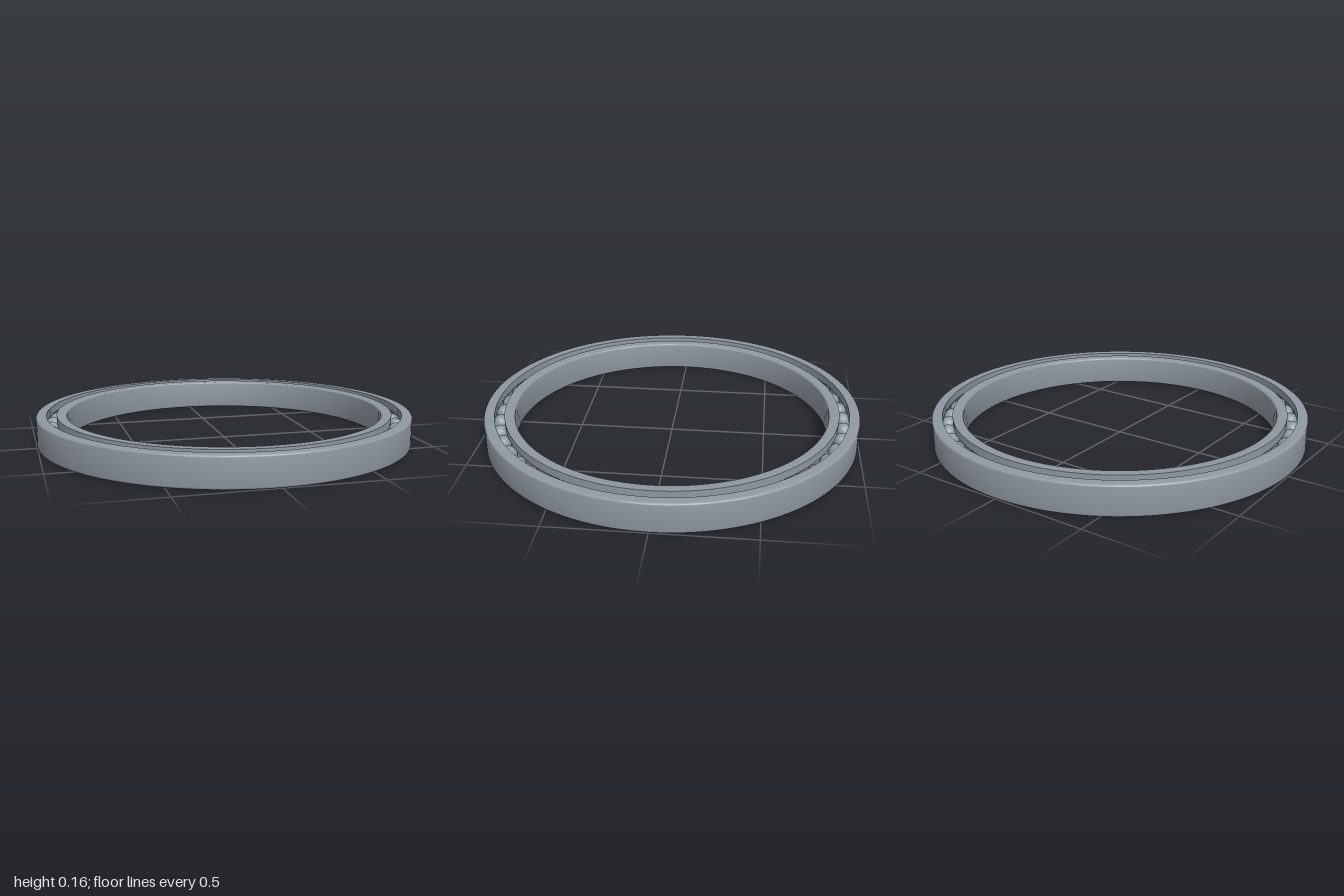
import * as THREE from 'three';
import { toCreasedNormals } from 'three/addons/utils/BufferGeometryUtils.js';

const HEIGHT = 0.157, MID = HEIGHT / 2;
const PITCH = 0.919;            // radius of the circle of ball centres
const BALL_R = 0.043, BALLS = 48;
const GROOVE_R = 0.045;
const FILLET = 0.01;

// points along an arc in the (radius, height) plane
function arc(cx, cy, r, from, to, steps) {
  const pts = [];
  for (let i = 0; i <= steps; i++) {
    const a = from + (to - from) * i / steps;
    pts.push(new THREE.Vector2(cx + r * Math.cos(a), cy + r * Math.sin(a)));
  }
  return pts;
}

// spins a closed counter-clockwise profile into a ring with crisp edges
function ring(name, profile, material) {
  const geometry = new THREE.LatheGeometry([...profile, profile[0].clone()], 144);
  const mesh = new THREE.Mesh(toCreasedNormals(geometry, 0.5), material);
  mesh.name = name;
  return mesh;
}

export function createModel() {
  const group = new THREE.Group();
  group.name = 'ballBearing';
  const steel = new THREE.MeshStandardMaterial({ color: 0x9098a1 });
  steel.name = 'steel grey';
  const P = Math.PI;

  // outer ring: rounded outer corners, ball groove on its inner face
  const outerLand = 0.945;
  const outerA = Math.acos((outerLand - PITCH) / GROOVE_R);
  group.add(ring('outerRing', [
    new THREE.Vector2(outerLand, 0),
    ...arc(1 - FILLET, FILLET, FILLET, -P / 2, 0, 4),
    ...arc(1 - FILLET, HEIGHT - FILLET, FILLET, 0, P / 2, 4),
    new THREE.Vector2(outerLand, HEIGHT),
    ...arc(PITCH, MID, GROOVE_R, outerA, -outerA, 12),
  ], steel));

  // inner ring: rounded bore corners, ball groove on its outer face
  const innerLand = 0.893, bore = 0.838;
  const innerA = Math.acos((PITCH - innerLand) / GROOVE_R);
  group.add(ring('innerRing', [
    new THREE.Vector2(innerLand, 0),
    ...arc(PITCH, MID, GROOVE_R, P + innerA, P - innerA, 12),
    new THREE.Vector2(innerLand, HEIGHT),
    ...arc(bore + FILLET, HEIGHT - FILLET, FILLET, P / 2, P, 4),
    ...arc(bore + FILLET, FILLET, FILLET, P, P * 1.5, 4),
  ], steel));

  // balls spaced evenly between the rings
  const balls = new THREE.Group();
  balls.name = 'balls';
  const ballGeometry = new THREE.SphereGeometry(BALL_R, 24, 16);
  for (let i = 0; i < BALLS; i++) {
    const a = 0.077 + i * 2 * P / BALLS;
    const ball = new THREE.Mesh(ballGeometry, steel);
    ball.name = 'ball';
    ball.position.set(PITCH * Math.cos(a), MID, PITCH * Math.sin(a));
    balls.add(ball);
  }
  group.add(balls);
  return group;
}
